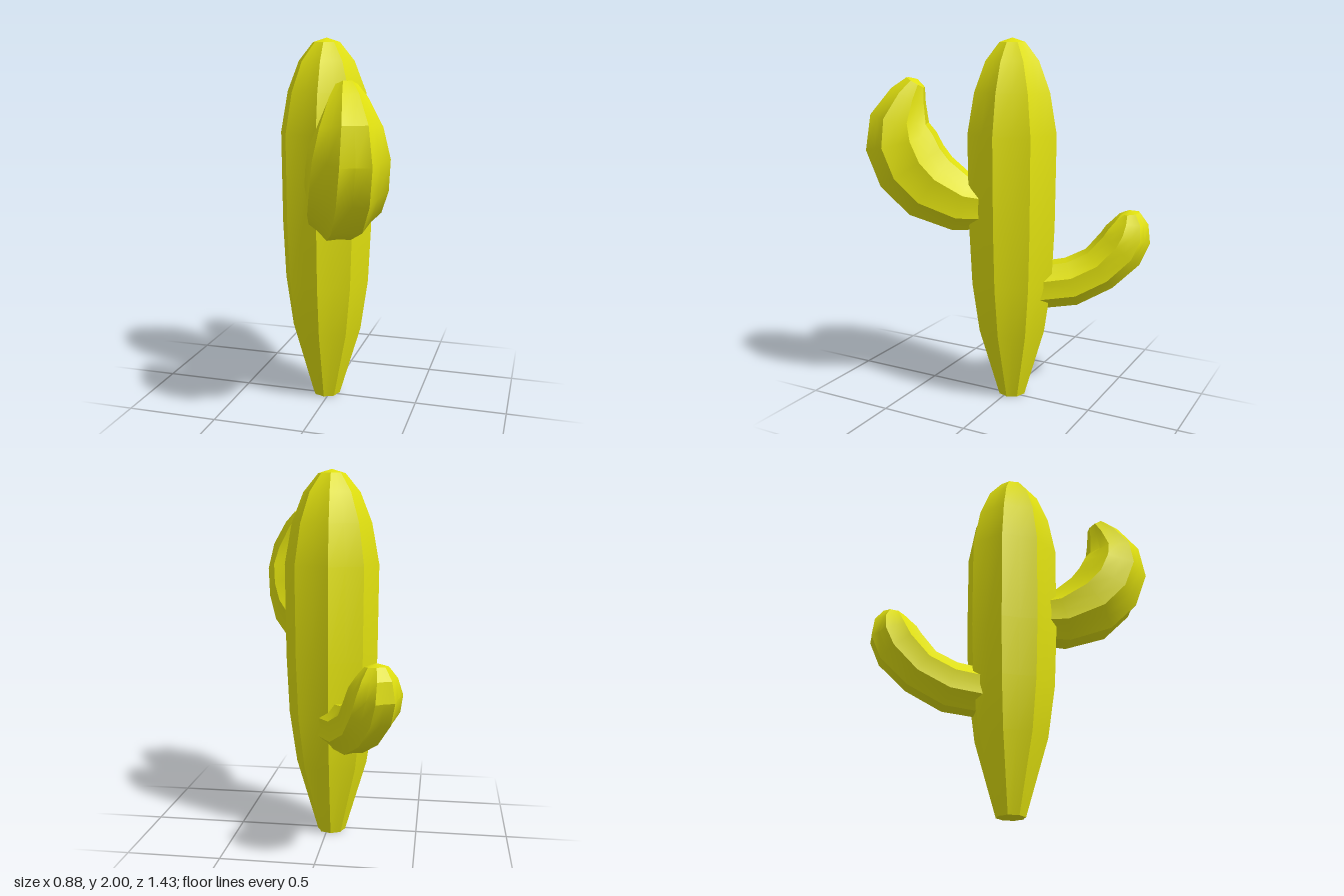
import * as THREE from 'three';
import { toCreasedNormals } from 'three/addons/utils/BufferGeometryUtils.js';

const RIBS = 8;
const VALLEY = 0.89; // groove radius relative to rib radius

// Ribbed body swept in the YZ plane. Each ring is [z, y, ribRadius]; tip is [z, y].
function ribbedGeometry(rings, tip, twist) {
  const n = RIBS * 2;
  const pos = [];
  const index = [];
  const side = new THREE.Vector3(1, 0, 0);
  rings.forEach(([z, y, r], i) => {
    const a = rings[Math.max(i - 1, 0)];
    const b = rings[i + 1] || [...tip];
    const tangent = new THREE.Vector3(0, b[1] - a[1], b[0] - a[0]).normalize();
    const out = side.clone().cross(tangent);
    for (let j = 0; j < n; j++) {
      const ang = twist + (j / n) * Math.PI * 2;
      const rad = j % 2 ? r * VALLEY : r;
      const p = new THREE.Vector3(0, y, z)
        .addScaledVector(out, Math.cos(ang) * rad)
        .addScaledVector(side, Math.sin(ang) * rad);
      pos.push(p.x, p.y, p.z);
    }
  });
  const last = (rings.length - 1) * n;
  const base = rings.length * n;
  pos.push(0, rings[0][1], rings[0][0], 0, tip[1], tip[0]);
  for (let j = 0; j < n; j++) {
    const k = (j + 1) % n;
    for (let i = 0; i < rings.length - 1; i++) {
      const a = i * n + j, b = i * n + k;
      index.push(a, b, b + n, a, b + n, a + n);
    }
    index.push(base, k, j); // closing fan at the start
    index.push(base + 1, last + j, last + k); // cap at the tip
  }
  const g = new THREE.BufferGeometry();
  g.setAttribute('position', new THREE.Float32BufferAttribute(pos, 3));
  g.setIndex(index);
  return toCreasedNormals(g, 0.5);
}

export function createModel() {
  const model = new THREE.Group();
  model.name = 'cactus';
  const skin = new THREE.MeshStandardMaterial({ color: 0xe0e00f });
  skin.name = 'yellow green skin';

  const add = (name, rings, tip, twist, heading = 0) => {
    const mesh = new THREE.Mesh(ribbedGeometry(rings, tip, twist), skin);
    mesh.name = name;
    mesh.rotation.y = THREE.MathUtils.degToRad(heading);
    model.add(mesh);
    return mesh;
  };

  // Upright trunk, narrow at the foot and rounded at the top
  const trunk = add('trunk', [
    [0, 0, 0.077], [0, 0.4, 0.195], [0, 0.68, 0.235], [0, 1.0, 0.25],
    [0, 1.5, 0.255], [0, 1.72, 0.215], [0, 1.88, 0.152], [0, 1.977, 0.073],
  ], [0, 2], THREE.MathUtils.degToRad(3.5));
  trunk.position.set(-0.022, 0, -0.017);

  // Thick upper arm growing forward and curling up
  add('upperArm', [
    [0.08, 1.1, 0.13], [0.25, 1.12, 0.165], [0.42, 1.21, 0.2], [0.52, 1.32, 0.208],
    [0.575, 1.455, 0.2], [0.58, 1.575, 0.162], [0.53, 1.7, 0.102], [0.49, 1.768, 0.057],
  ], [0.48, 1.785], Math.PI / RIBS, 25);

  // Slim lower arm growing backward
  add('lowerArm', [
    [0.1, 0.64, 0.13], [0.355, 0.67, 0.136], [0.51, 0.745, 0.132], [0.625, 0.86, 0.14],
    [0.665, 0.94, 0.132], [0.677, 1.01, 0.1], [0.672, 1.06, 0.058],
  ], [0.67, 1.077], Math.PI / RIBS, 208);

  return model;
}
